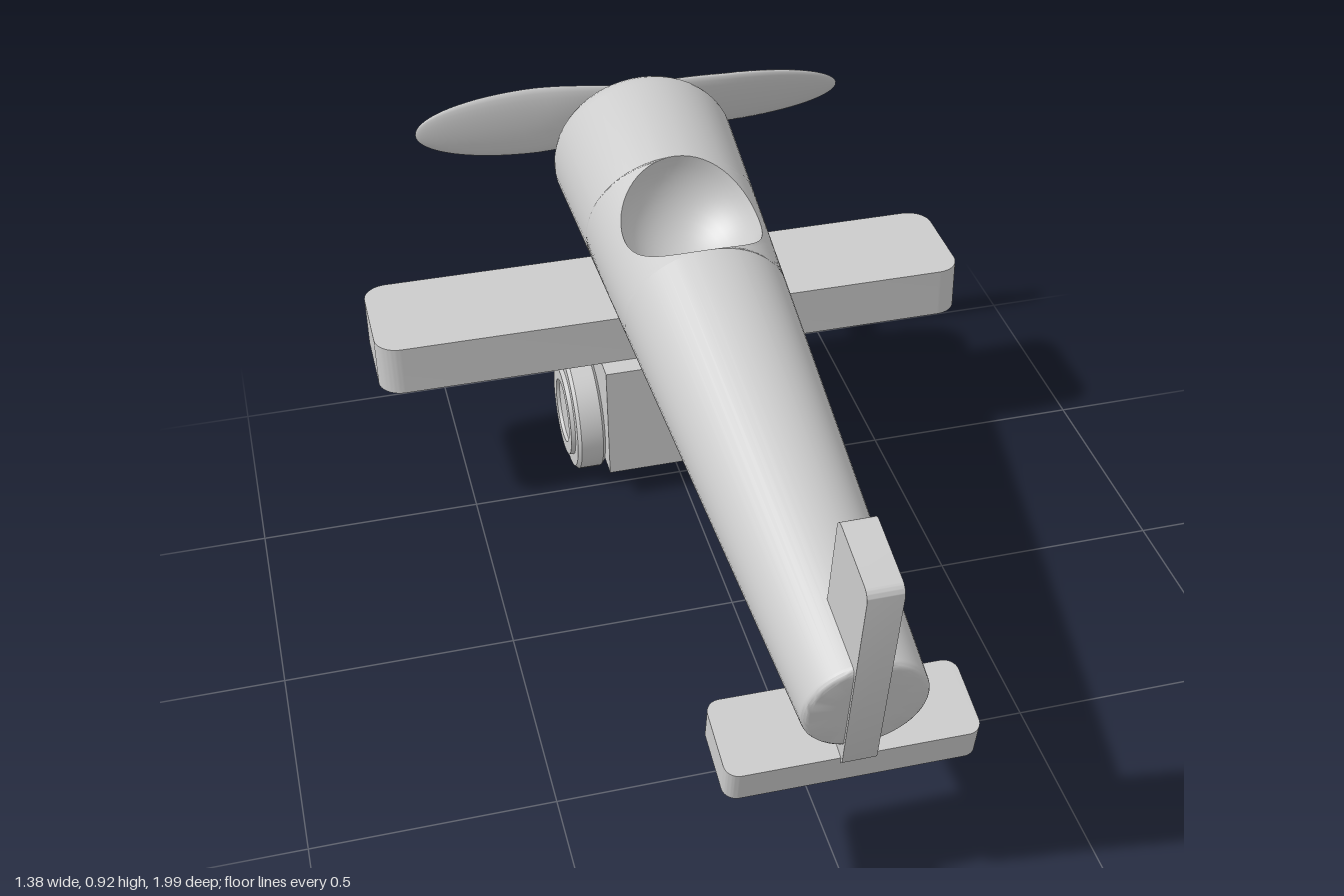
import * as THREE from 'three';
import { mergeVertices, toCreasedNormals } from 'three/addons/utils/BufferGeometryUtils.js';

const material = new THREE.MeshStandardMaterial({ color: 0xcccccc });
const TILT = 0.198; // nose-up pitch of the fuselage frame
const { sin, cos, PI, sqrt, abs, min } = Math;

function part(name, geometry, parent, x = 0, y = 0, z = 0) {
  const mesh = new THREE.Mesh(geometry, material);
  mesh.name = name;
  mesh.position.set(x, y, z);
  parent.add(mesh);
  return mesh;
}

// Smooth surface from a grid of points fn(i, j); the front is du x dv
function surface(nu, nv, fn) {
  const pos = [], index = [];
  for (let j = 0; j <= nv; j++)
    for (let i = 0; i <= nu; i++) pos.push(...fn(i, j));
  for (let j = 0; j < nv; j++)
    for (let i = 0; i < nu; i++) {
      const a = j * (nu + 1) + i, c = a + nu + 1;
      index.push(a, a + 1, c + 1, a, c + 1, c);
    }
  let g = new THREE.BufferGeometry();
  g.setAttribute('position', new THREE.Float32BufferAttribute(pos, 3));
  g.setIndex(index);
  g = mergeVertices(g);
  g.computeVertexNormals();
  return g;
}

// Slab with rounded corners in x-y, thickness along z, centred
function slab(w, h, depth, r) {
  const s = new THREE.Shape(), x = w / 2, y = h / 2;
  s.moveTo(-x + r, -y);
  s.absarc(x - r, -y + r, r, -PI / 2, 0);
  s.absarc(x - r, y - r, r, 0, PI / 2);
  s.absarc(-x + r, y - r, r, PI / 2, PI);
  s.absarc(-x + r, -y + r, r, PI, 1.5 * PI);
  const g = new THREE.ExtrudeGeometry(s, { depth, bevelEnabled: false, curveSegments: 8 });
  g.translate(0, 0, -depth / 2);
  return toCreasedNormals(g, 0.5);
}

// Finds where f changes from negative (at a) to positive (at b)
function solve(f, a, b) {
  for (let k = 0; k < 40; k++) {
    const m = (a + b) / 2;
    if (f(m) < 0) a = m; else b = m;
  }
  return a;
}

// Fuselage: drooping tapered body with a round cockpit hollow, in its tilted frame
function addFuselage(parent) {
  const L = 1.738, R0 = 0.12, R1 = 0.213, FILLET = 0.08, EDGE = 0.014;
  const C = [0, 0.043, -1.298], RC = 0.162;
  const radius = s => R0 + (R1 - R0) * s / L;
  const point = (s, r, t) => [r * sin(t), -0.175 * s / L + r * cos(t), -s];
  const outside = (s, t) => {
    const p = point(s, radius(s), t);
    return Math.hypot(p[0] - C[0], p[1] - C[1], p[2] - C[2]) - RC;
  };

  // rows of [station, radius, half-angle of the opening]
  const rows = [[0, 0, 0], [0, 0.06, 0]], lip = [], N = 32;
  for (let k = 0; k <= 4; k++) {
    const a = k / 4 * PI / 2;
    rows.push([EDGE * (1 - cos(a)), R0 - EDGE + EDGE * sin(a), 0]);
  }
  const sa = solve(s => outside(s, 0), 1.298, 0.9), sb = solve(s => outside(s, 0), 1.298, 1.65);
  for (let k = 0; k <= N; k++) {
    const s = (sa + sb) / 2 - (sb - sa) / 2 * cos(k / N * PI);
    const t = k % N ? solve(a => outside(s, a), 0, 1.5) : 0;
    rows.push([s, radius(s), t]);
    lip.push(point(s, radius(s), t));
  }
  for (let k = 0; k <= 8; k++) {
    const a = k / 8 * PI / 2;
    rows.push([L + FILLET * sin(a), R1 - FILLET + FILLET * cos(a), 0]);
  }
  rows.push([L + FILLET, 0.06, 0], [L + FILLET, 0, 0]);
  const skin = surface(56, rows.length - 1, (i, j) => {
    const [s, r, t] = rows[j];
    return point(s, r, t + (2 * PI - 2 * t) * i / 56);
  });
  part('fuselage', toCreasedNormals(skin, 0.6), parent);

  // bowl: from the lip down to the lowest point of the sphere
  for (let k = N - 1; k >= 0; k--) lip.push([-lip[k][0], lip[k][1], lip[k][2]]);
  const bowl = surface(2 * N, 10, (i, j) => {
    const d = lip[i].map((v, k) => v - C[k]);
    const polar = Math.atan2(Math.hypot(d[0], d[2]), -d[1]) * (1 - j / 10);
    const az = Math.atan2(d[0], d[2]);
    return [C[0] + RC * sin(polar) * sin(az), C[1] - RC * cos(polar), C[2] + RC * sin(polar) * cos(az)];
  });
  part('cockpitBowl', bowl, parent);
}

// Two leaf-shaped blades with opposite pitch
function propellerBlades() {
  const NX = 48, HALF = 0.515, MID = 0.22;
  return surface(24, NX, (i, j) => {
    const x = -HALF * cos(j / NX * PI), d = abs(x), a = i / 24 * 2 * PI;
    const e = d > MID ? sqrt(Math.max(0, 1 - ((d - MID) / (HALF - MID)) ** 2))
      : 0.8 + 0.2 * sin(d / MID * PI / 2);
    const y = 0.086 * e * cos(a), z = 0.018 * e * sin(a);
    const pitch = 0.19 * Math.sign(x) * min(1, d / MID);
    return [x, y * cos(pitch) - z * sin(pitch), y * sin(pitch) + z * cos(pitch)];
  });
}

// Wheel lathe profile: tyre with a raised ring around a shallow hub recess
function wheelGeometry() {
  const profile = [[0, 0], [0.137, 0], [0.145, 0.008], [0.145, 0.06], [0.137, 0.068],
    [0.109, 0.068], [0.107, 0.078], [0.077, 0.078], [0.075, 0.07], [0, 0.07]];
  const g = new THREE.LatheGeometry(profile.map(p => new THREE.Vector2(...p)), 48);
  g.rotateZ(-PI / 2);
  return toCreasedNormals(g, 0.5);
}

export function createModel() {
  const model = new THREE.Group();
  model.name = 'toyAeroplane';

  const body = new THREE.Group();
  body.name = 'fuselageGroup';
  body.position.set(0, 0.543, 0.93);
  body.rotation.x = TILT;
  model.add(body);
  addFuselage(body);

  // propeller on its shaft
  const propeller = new THREE.Group();
  propeller.name = 'propeller';
  propeller.position.set(0, 0.757, -0.957);
  propeller.rotation.x = TILT;
  model.add(propeller);
  part('propellerBlades', propellerBlades(), propeller);
  const shaft = new THREE.CylinderGeometry(0.029, 0.029, 0.15, 24);
  shaft.rotateX(PI / 2);
  part('propellerShaft', shaft, propeller, 0, 0, 0.047);

  // tail fin passes down through the body to the stabiliser
  const fin = slab(0.175, 0.505, 0.067, 0.022);
  fin.rotateY(PI / 2);
  part('tailFin', fin, model, 0, 0.638, 0.866).rotation.x = TILT;
  const stabiliser = slab(0.49, 0.172, 0.072, 0.028);
  stabiliser.rotateX(PI / 2);
  part('tailStabiliser', stabiliser, model, -0.003, 0.376, 0.807).rotation.set(TILT, 0, -0.012);

  // wing and undercarriage
  const wing = slab(1.384, 0.28, 0.118, 0.055);
  wing.rotateX(PI / 2);
  part('wing', wing, model, 0, 0.42, -0.63);
  part('undercarriageBlock', new THREE.BoxGeometry(0.366, 0.284, 0.362), model, 0, 0.22, -0.623);
  for (const side of [1, -1]) {
    const wheel = part(side > 0 ? 'leftWheel' : 'rightWheel', wheelGeometry(), model, side * 0.181, 0.147, -0.625);
    if (side < 0) wheel.rotation.y = PI;
  }
  return model;
}
